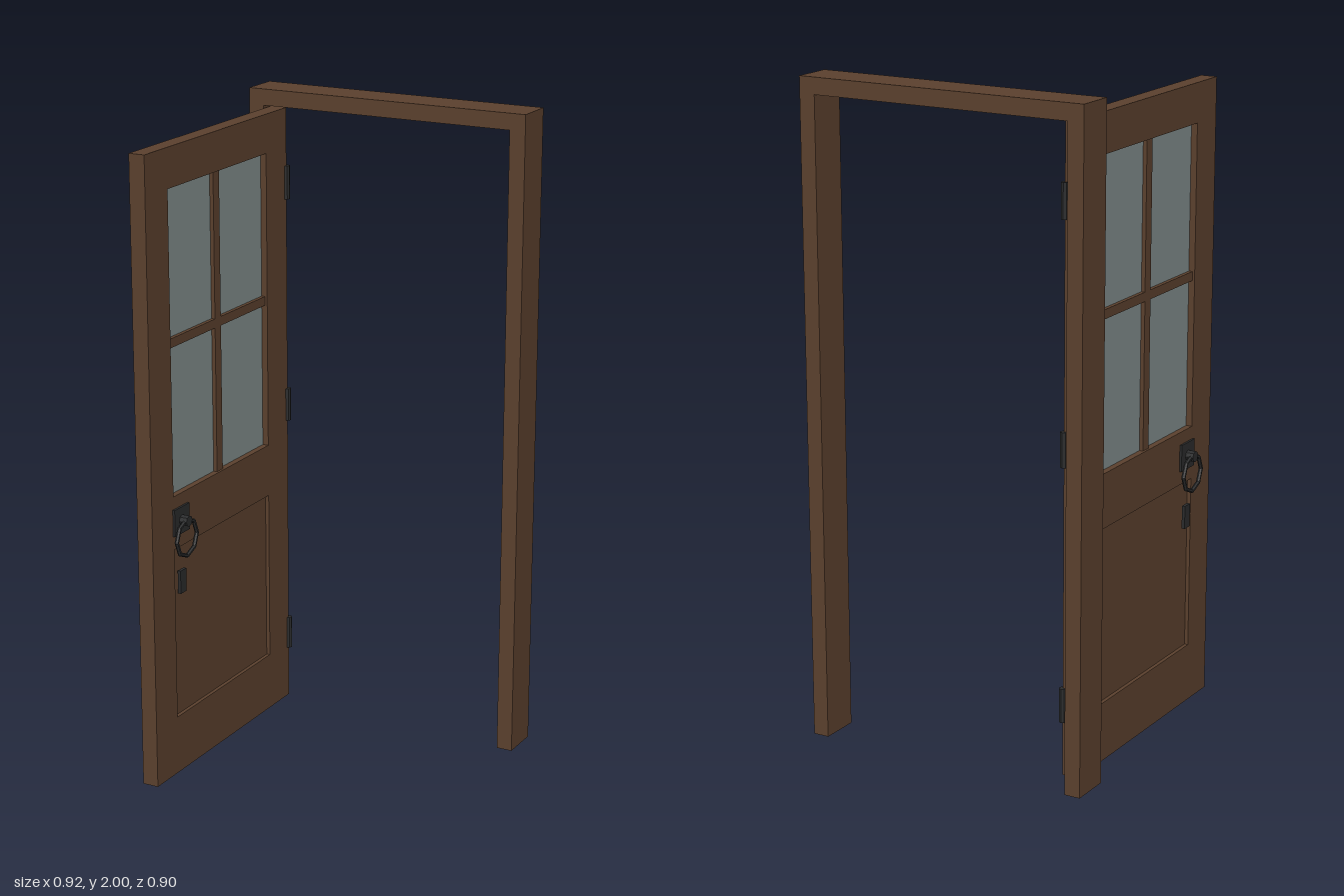
import * as THREE from 'three';

export function createModel() {
  const model = new THREE.Group();
  model.name = 'openDoorWithFrame';

  const wood = new THREE.MeshStandardMaterial({ color: 0x5c412e });
  wood.name = 'brown wood';
  const glass = new THREE.MeshStandardMaterial({ color: 0x828e8d });
  glass.name = 'grey glass';
  const iron = new THREE.MeshStandardMaterial({ color: 0x2b2c2d, flatShading: true });
  iron.name = 'black iron';

  function add(parent, name, geometry, material, x = 0, y = 0, z = 0) {
    const mesh = new THREE.Mesh(geometry, material);
    mesh.name = name;
    mesh.position.set(x, y, z);
    parent.add(mesh);
    return mesh;
  }

  // Box given by its minimum and maximum on each axis
  function box(parent, name, material, [x0, x1], [y0, y1], [z0, z1]) {
    return add(parent, name, new THREE.BoxGeometry(x1 - x0, y1 - y0, z1 - z0), material,
      (x0 + x1) / 2, (y0 + y1) / 2, (z0 + z1) / 2);
  }

  // Upright-and-lintel frame, cut from one board outline
  const outline = new THREE.Shape();
  [[-0.46, 0], [-0.41, 0], [-0.41, 1.95], [0.41, 1.95], [0.41, 0], [0.46, 0], [0.46, 2], [-0.46, 2]]
    .forEach(([x, y], i) => (i ? outline.lineTo(x, y) : outline.moveTo(x, y)));
  add(model, 'doorFrame', new THREE.ExtrudeGeometry(outline, { depth: 0.125, bevelEnabled: false }),
    wood, 0, 0, -0.45);

  // Door leaf, swung open; local x = 0 is the middle of its thickness
  const door = new THREE.Group();
  door.name = 'door';
  door.position.x = -0.3775;
  model.add(door);

  const half = 0.0255;
  const zBack = -0.36, zFront = 0.448, yLow = 0.015, yHigh = 1.943;
  const opening = [-0.236, 0.328], windowY = [0.9, 1.823], panelY = [0.197, 0.735];

  // Leaf with two rectangular openings, drawn in (-z, y) and turned to face x
  const leaf = new THREE.Shape();
  const trace = (path, [z0, z1], [y0, y1]) =>
    path.moveTo(-z1, y0).lineTo(-z0, y0).lineTo(-z0, y1).lineTo(-z1, y1).closePath();
  trace(leaf, [zBack, zFront], [yLow, yHigh]);
  for (const y of [windowY, panelY]) {
    const hole = new THREE.Path();
    trace(hole, opening, y);
    leaf.holes.push(hole);
  }
  const leafGeometry = new THREE.ExtrudeGeometry(leaf, { depth: half * 2, bevelEnabled: false });
  leafGeometry.translate(0, 0, -half).rotateY(Math.PI / 2);
  add(door, 'doorLeaf', leafGeometry, wood);

  // Recessed infill
  box(door, 'lowerPanel', wood, [-0.014, 0.014], panelY, opening);
  box(door, 'windowGlass', glass, [-0.006, 0.006], windowY, opening);
  box(door, 'verticalGlazingBar', wood, [-0.018, 0.018], windowY, [0.03, 0.064]);
  box(door, 'horizontalGlazingBar', wood, [-0.018, 0.018], [1.35, 1.378], opening);

  // Handle and lock plate on both faces
  for (const side of [-1, 1]) {
    const hardware = new THREE.Group();
    hardware.name = side > 0 ? 'leftHandle' : 'rightHandle';
    door.add(hardware);
    const z = 0.2925;
    add(hardware, 'handlePlate', new THREE.BoxGeometry(0.008, 0.083, 0.083), iron,
      side * (half + 0.003), 0.819, z);
    add(hardware, 'lockPlate', new THREE.BoxGeometry(0.01, 0.072, 0.033), iron,
      side * (half + 0.003), 0.626, z);
    const knob = new THREE.CylinderGeometry(0.017, 0.017, 0.034, 8).rotateZ(Math.PI / 2);
    add(hardware, 'knob', knob, iron, side * (half + 0.015), 0.819, z);
    const ring = new THREE.TorusGeometry(0.057, 0.0065, 6, 8).rotateY(Math.PI / 2);
    add(hardware, 'pullRing', ring, iron, side * 0.0475, 0.766, z);
  }

  // Hinge barrels on the hung edge
  for (const y of [0.233, 1.002, 1.712]) {
    add(door, 'hinge', new THREE.CylinderGeometry(0.012, 0.012, 0.104, 8), iron, half - 0.001, y, zBack);
  }

  return model;
}
